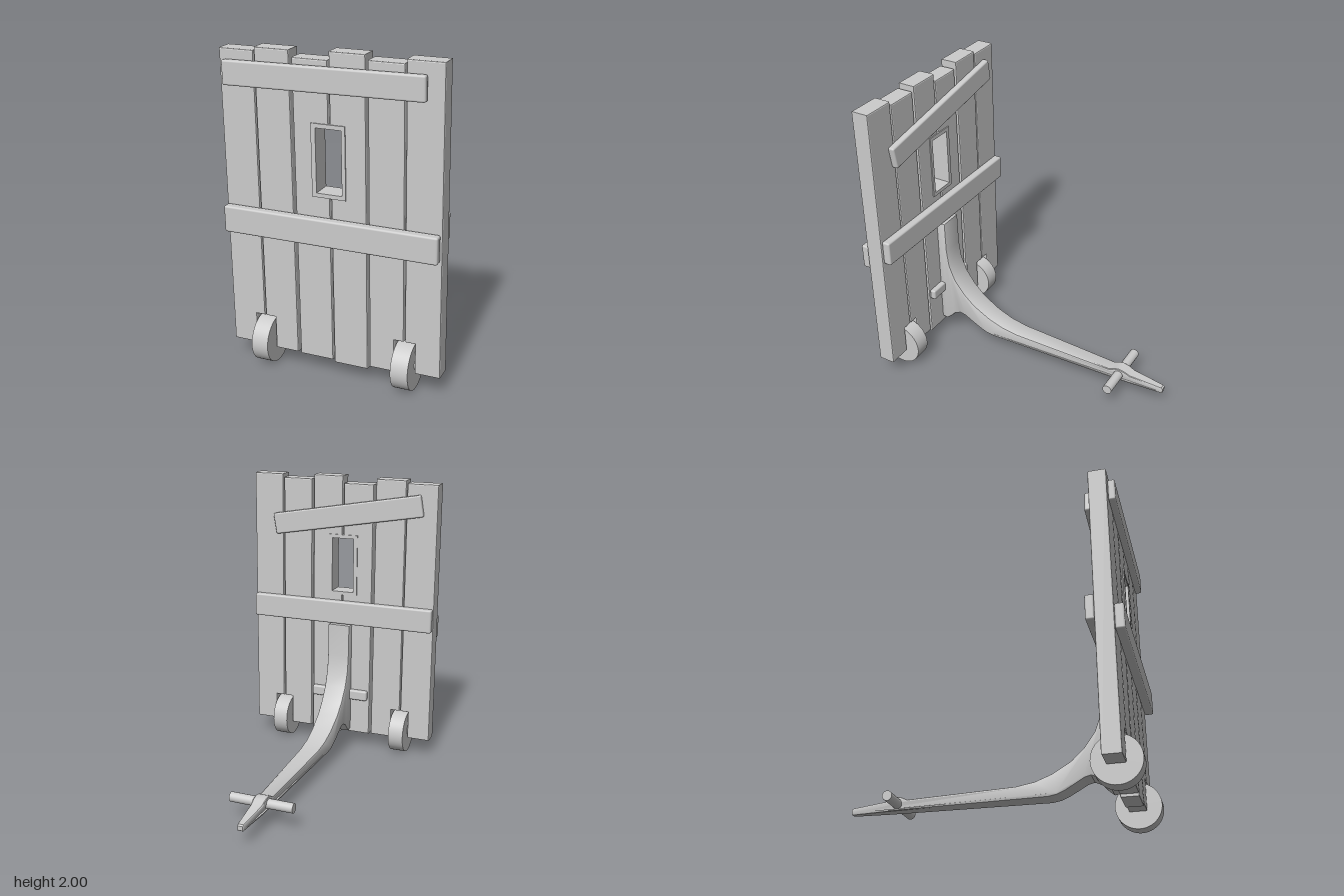
import * as THREE from 'three';
import { toCreasedNormals } from 'three/addons/utils/BufferGeometryUtils.js';
import { RoundedBoxGeometry } from 'three/addons/geometries/RoundedBoxGeometry.js';

const grey = new THREE.MeshStandardMaterial({ color: 0xcccccc });
const Z = 0.812; // mid-depth of the board

// Extrude an outline with a small bevel that stays inside it, centred in depth
function slab(points, depth, bevel, hole) {
  const shape = new THREE.Shape(points.map(([x, y]) => new THREE.Vector2(x, y)));
  if (hole) shape.holes.push(new THREE.Path(hole.map(([x, y]) => new THREE.Vector2(x, y))));
  const geo = new THREE.ExtrudeGeometry(shape, {
    depth: depth - 2 * bevel, bevelEnabled: bevel > 0, bevelSize: bevel,
    bevelThickness: bevel, bevelOffset: -bevel, bevelSegments: 2,
  });
  return geo.translate(0, 0, bevel - depth / 2);
}

// Plank outline; the cut removes a notch from one long edge
function plankOutline(l, r, b, t, cut) {
  const edge = (x, side) => {
    if (!cut || cut.side !== side) return [[x, b]];
    const top = [[cut.x, cut.y1], [x, cut.y1]];
    return cut.y0 ? [[x, b], [x, cut.y0], [cut.x, cut.y0], ...top] : [[cut.x, b], ...top];
  };
  return [...edge(r, 'r'), [r, t], [l, t], ...edge(l, 'l').reverse()];
}

export function createModel() {
  const root = new THREE.Group();
  const add = (name, geo, x = 0, y = 0, z = 0, parent = root) => {
    const mesh = new THREE.Mesh(geo, grey);
    mesh.name = name;
    mesh.position.set(x, y, z);
    parent.add(mesh);
    return mesh;
  };

  // Upright planks, notched for the wheels and the viewing slot
  const planks = new THREE.Group();
  planks.name = 'planks';
  root.add(planks);
  const wheelCut = (side, x) => ({ side, x, y1: 0.32 });
  const slotCut = (side, x) => ({ side, x, y0: 1.16, y1: 1.58 });
  [
    [-0.68, -0.462, 0.12, 1.97, wheelCut('r', -0.52)],
    [-0.455, -0.24, 0.11, 1.99, wheelCut('l', -0.39)],
    [-0.222, -0.006, 0.105, 1.95, slotCut('r', -0.1)],
    [0.004, 0.22, 0.09, 2.0, slotCut('l', 0.09)],
    [0.235, 0.449, 0.11, 1.97, wheelCut('r', 0.39)],
    [0.458, 0.675, 0.125, 1.995, wheelCut('l', 0.52)],
  ].forEach(([l, r, b, t, cut], i) =>
    add('plank' + (i + 1), slab(plankOutline(l, r, b, t, cut), 0.116, 0.008), 0, 0, Z, planks));

  // Frame lining the viewing slot
  const rect = (l, r, b, t) => [[l, b], [r, b], [r, t], [l, t]];
  add('slotFrame', slab(rect(-0.112, 0.098, 1.15, 1.588), 0.13, 0,
    rect(-0.084, 0.075, 1.175, 1.562)), 0, 0, Z);

  // Battens nailed across the front and back
  const batten = (name, w, h, d, x, y, z, tilt = 0) => {
    add(name, new RoundedBoxGeometry(w, h, d, 2, 0.012), x, y, z).rotation.z = tilt;
  };
  batten('frontUpperBatten', 1.225, 0.147, 0.045, -0.033, 1.844, 0.893, 0.012);
  batten('frontMiddleBatten', 1.34, 0.165, 0.058, -0.005, 0.948, 0.899);
  batten('backUpperBatten', 1.1, 0.15, 0.045, -0.035, 1.733, 0.733, -0.172);
  batten('backMiddleBatten', 1.34, 0.165, 0.055, -0.005, 1.028, 0.727);
  batten('backLowerPeg', 0.42, 0.072, 0.042, 0, 0.408, 0.736);

  // Wheels with short axles
  for (const s of [-1, 1]) {
    const wheel = new THREE.Group();
    wheel.name = s > 0 ? 'leftWheel' : 'rightWheel';
    wheel.position.set(s * 0.455, 0.15, 0.815);
    root.add(wheel);
    add('wheelDisc', new THREE.CylinderGeometry(0.15, 0.15, 0.108, 48).rotateZ(Math.PI / 2), 0, 0, 0, wheel);
    add('axle', new THREE.CylinderGeometry(0.035, 0.035, 0.16, 20).rotateZ(Math.PI / 2), 0, 0.012, 0, wheel);
  }

  // Bent push beam: side profile as [z, y], narrowed towards its rear tip
  const profile = [
    [0.757, 0.94], [0.757, 0.13], [0.715, 0.125], [0.675, 0.16], [0.645, 0.195], [0.6, 0.214],
    [0.56, 0.205], [0.5, 0.17], [0.44, 0.137], [0.385, 0.114], [0.33, 0.105], [-0.58, 0.105],
    [-0.72, 0.105], [-0.955, 0.105], [-0.96, 0.11], [-0.96, 0.138], [-0.95, 0.147], [-0.73, 0.168],
    [-0.69, 0.186], [-0.65, 0.195], [-0.615, 0.188], [-0.58, 0.17], [0.13, 0.19], [0.25, 0.21],
    [0.36, 0.25], [0.48, 0.32], [0.56, 0.395], [0.63, 0.49], [0.672, 0.6], [0.687, 0.72], [0.69, 0.94],
  ];
  const beam = slab(profile, 0.16, 0.012).rotateY(-Math.PI / 2);
  const pos = beam.attributes.position;
  for (let i = 0; i < pos.count; i++) {
    const z = pos.getZ(i);
    const half = z > -0.7
      ? THREE.MathUtils.mapLinear(Math.min(z, 0.69), -0.7, 0.69, 0.043, 0.081)
      : THREE.MathUtils.mapLinear(z, -0.96, -0.7, 0.02, 0.043);
    pos.setX(i, pos.getX(i) * half / 0.08);
  }
  add('pushBeam', toCreasedNormals(beam, 0.6));

  // Hand grip through the beam
  add('handleBar', new THREE.CylinderGeometry(0.032, 0.032, 0.43, 24).rotateZ(Math.PI / 2), 0, 0.15, -0.647);

  return root;
}
